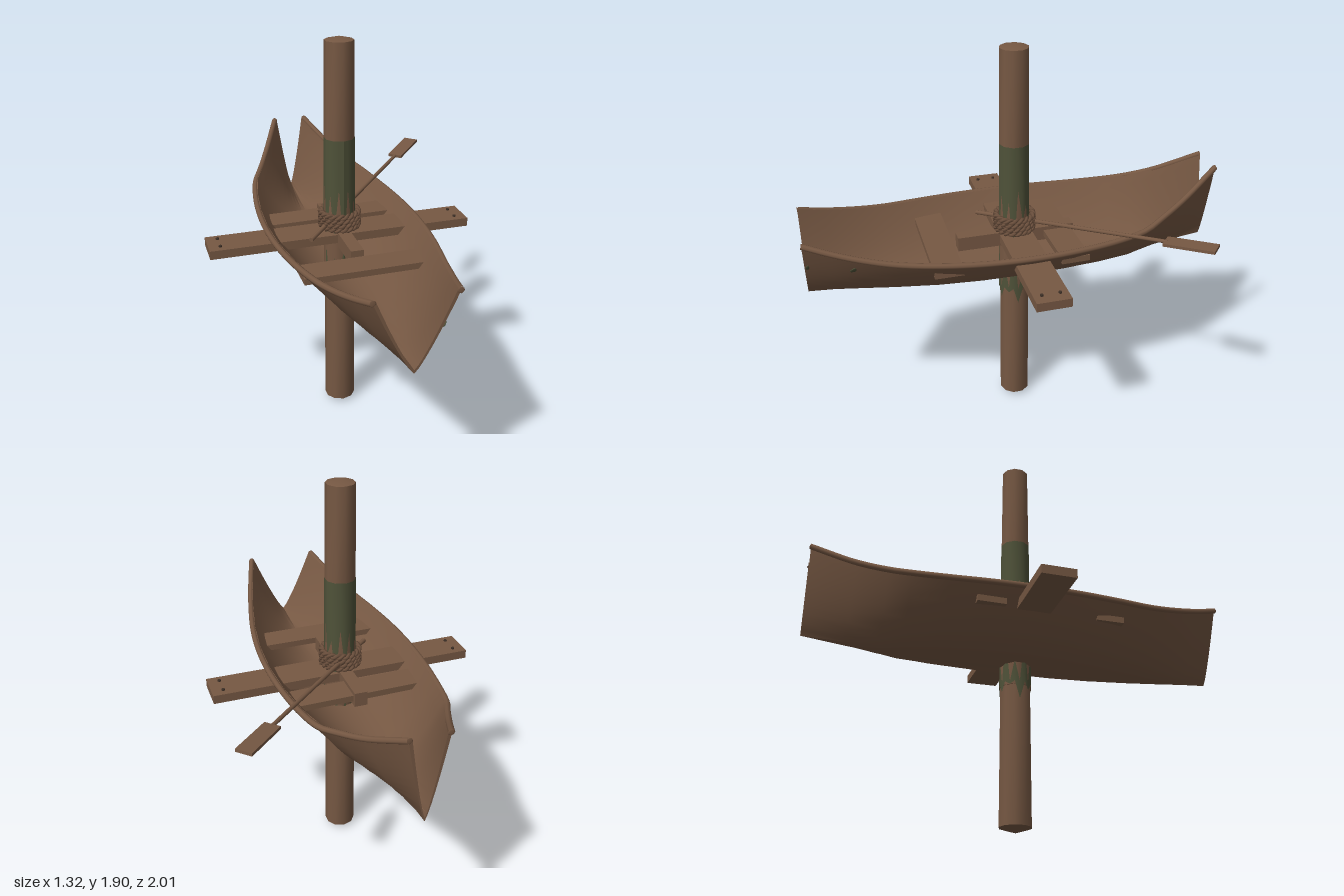
import * as THREE from 'three';
import { toCreasedNormals } from 'three/addons/utils/BufferGeometryUtils.js';

const CX = -0.02; // the boat and post share this centre line

export function createModel() {
  const model = new THREE.Group();
  const mat = (name, color, side = THREE.FrontSide) => {
    const m = new THREE.MeshStandardMaterial({ color, side });
    m.name = name;
    return m;
  };
  const wood = mat('wood', 0x765843);
  const rope = mat('rope', 0x6c503d);
  const moss = mat('moss', 0x4f5239, THREE.DoubleSide);
  const iron = mat('nail', 0x3d3027);

  const add = (name, geo, material, x = 0, y = 0, z = 0, parent = model) => {
    const m = new THREE.Mesh(geo, material);
    m.name = name;
    m.position.set(x, y, z);
    parent.add(m);
    return m;
  };

  // Hull stations: z, half width, rim height, keel height, section power (low = V, high = round)
  const stations = [
    [1, 0.18, 1.15, 0.8, 1.2], [0.88, 0.216, 1.112, 0.792, 1.4], [0.75, 0.253, 1.08, 0.783, 1.6],
    [0.6, 0.29, 1.055, 0.776, 1.8], [0.4, 0.332, 1.042, 0.771, 2.0], [0.2, 0.358, 1.036, 0.77, 2.1],
    [0, 0.366, 1.034, 0.77, 2.1], [-0.2, 0.357, 1.035, 0.77, 2.1], [-0.4, 0.332, 1.04, 0.77, 2.05],
    [-0.56, 0.297, 1.054, 0.77, 1.9], [-0.66, 0.25, 1.08, 0.777, 1.75], [-0.8, 0.185, 1.13, 0.79, 1.5],
    [-1, 0.09, 1.232, 0.813, 1.25],
  ];
  add('hull', hullGeometry(stations), wood, CX);

  // Rounded rails along the rims and the open ends
  for (const s of [-1, 1]) {
    const rim = stations.map(([z, w, top]) => new THREE.Vector3(s * (w - 0.004), top - 0.008, z));
    add('rail', new THREE.TubeGeometry(new THREE.CatmullRomCurve3(rim), 48, 0.014, 8), wood, CX);
    for (const z of [1, -1]) {
      const st = stations[z > 0 ? 0 : stations.length - 1];
      add('railEnd', new THREE.SphereGeometry(0.014, 8, 6).scale(1, 1, 0.1), wood,
        CX + s * (st[1] - 0.004), st[2] - 0.008, z);
    }
  }

  // Seats, cross plank and lengthwise beam
  add('backSeat', new THREE.BoxGeometry(0.63, 0.03, 0.135), wood, CX - 0.005, 0.957, -0.207).rotation.y = 0.015;
  add('frontSeat', new THREE.BoxGeometry(0.57, 0.03, 0.135), wood, CX - 0.005, 0.957, 0.377);
  add('crossPlank', new THREE.BoxGeometry(1.28, 0.042, 0.16), wood, CX, 0.959, 0);
  add('beam', new THREE.BoxGeometry(0.062, 0.07, 0.575), wood, CX, 0.955, -0.003);
  for (const x of [-0.585, 0.585]) for (const z of [-0.042, 0.042]) {
    add('nail', new THREE.CylinderGeometry(0.008, 0.008, 0.01, 8), iron, CX + x, 0.982, z);
  }

  // Post with low pointed ends
  const post = (name, y0, y1, r0, r1) => add(name,
    toCreasedNormals(new THREE.CylinderGeometry(r1, r0, y1 - y0, 10), 0.7), wood, CX, (y0 + y1) / 2, 0);
  post('postTip', 0, 0.022, 0.004, 0.076);
  post('lowerPost', 0.022, 0.67, 0.076, 0.073);
  post('middlePost', 0.67, 1.44, 0.077, 0.071);
  post('upperPost', 1.44, 1.885, 0.071, 0.067);
  post('postTop', 1.885, 1.9, 0.067, 0.004);

  // Moss bands with ragged dripping edges
  const drips = [0.9, 1.2, 0.98, 1.16, 0.88, 1.22, 1.06, 1.14, 0.93, 1.2,
    1.0, 1.18, 0.9, 1.15, 1.03, 1.22, 0.92, 1.17, 0.97, 1.2];
  add('upperMoss', mossBand(1.44, drips), moss, CX);
  add('lowerMoss', mossBand(0.685, drips.map((y) => 1.82 - y)), moss, CX);

  // Small moss patches on the left side of the hull
  for (const [z, len] of [[0.785, 0.05], [0.985, 0.026]]) {
    const y = 1.0;
    const [w, top, keel, p] = sample(stations, z);
    const t = Math.pow((y - keel) / (top - keel), 1 / p);
    const slope = ((top - keel) * p * Math.pow(t, p - 1)) / w;
    const patch = add('mossPatch', new THREE.SphereGeometry(0.5, 10, 6).scale(0.008, 0.032, len),
      moss, CX + w * t, y, z);
    patch.rotation.set(0, 0.28, -Math.atan(1 / slope), 'YXZ');
  }

  // Lashing: stacked coils, each of two twisted strands
  const lashing = new THREE.Group();
  lashing.name = 'lashing';
  lashing.position.x = CX;
  model.add(lashing);
  for (let k = 0; k < 4; k++) for (const phase of [0, Math.PI]) {
    const pts = [];
    for (let i = 0; i < 96; i++) {
      const a = (i / 96) * Math.PI * 2;
      const twist = a * 10 + phase + k;
      const r = 0.088 + 0.008 * Math.cos(twist);
      pts.push(new THREE.Vector3(r * Math.sin(a), 1.006 + k * 0.021 + 0.008 * Math.sin(twist), r * Math.cos(a)));
    }
    add('ropeStrand', new THREE.TubeGeometry(new THREE.CatmullRomCurve3(pts, true), 96, 0.009, 5, true),
      rope, 0, 0, 0, lashing);
  }

  // Oar tucked under the lashing
  const oar = new THREE.Group();
  oar.name = 'oar';
  oar.position.set(-0.2, 1.005, 0.145);
  oar.lookAt(0.63, 1.122, -0.73);
  add('oarShaft', new THREE.CylinderGeometry(0.009, 0.011, 0.99, 8).rotateX(Math.PI / 2), wood, 0, 0, 0.495, oar);
  add('oarBlade', new THREE.BoxGeometry(0.075, 0.014, 0.235), wood, 0, 0, 1.095, oar);
  model.add(oar);

  return model;
}

// Station values interpolated at a given z
function sample(stations, z) {
  const i = Math.max(1, stations.findIndex((s) => s[0] <= z));
  const a = stations[i - 1], b = stations[i];
  const f = (a[0] - z) / (a[0] - b[0]);
  return [1, 2, 3, 4].map((k) => a[k] + (b[k] - a[k]) * f);
}

// Two-skinned open-ended shell lofted through the stations
function hullGeometry(stations) {
  const N = 20, T = 0.016, ring = 2 * (N + 1);
  const pos = [], idx = [];
  for (const [z, w, top, keel, p] of stations) {
    const skin = (t, hw, k) => pos.push(hw * t, k + (top - k) * Math.pow(Math.abs(t), p), z);
    for (let i = 0; i <= N; i++) skin((i / N) * 2 - 1, w, keel);
    for (let i = N; i >= 0; i--) skin((i / N) * 2 - 1, w - T, keel + T);
  }
  for (let s = 0; s < stations.length - 1; s++) for (let i = 0; i < ring; i++) {
    const j = (i + 1) % ring;
    const a = s * ring + i, b = s * ring + j, c = b + ring, d = a + ring;
    idx.push(a, c, b, a, d, c);
  }
  // End faces between the skins
  const e = (stations.length - 1) * ring;
  for (let i = 0; i < N; i++) {
    const a = i, b = i + 1, c = ring - 2 - i, d = ring - 1 - i;
    idx.push(a, b, c, a, c, d, e + a, e + c, e + b, e + a, e + d, e + c);
  }
  const g = new THREE.BufferGeometry();
  g.setAttribute('position', new THREE.Float32BufferAttribute(pos, 3));
  g.setIndex(idx);
  return toCreasedNormals(g, 0.6);
}

// Thin sleeve around the ten-sided post, from a level edge to a ragged one
function mossBand(edge, tips) {
  const n = tips.length, pos = [], idx = [];
  for (let i = 0; i <= n; i++) {
    const a = (i / n) * Math.PI * 2;
    const flat = i % 2 ? Math.cos(Math.PI / 10) : 1;
    const tip = tips[i % n];
    for (const y of [Math.max(edge, tip), Math.min(edge, tip)]) {
      const r = (0.0785 - (y - 0.67) * 0.0078) * flat;
      pos.push(r * Math.sin(a), y, r * Math.cos(a));
    }
    if (i < n) {
      const k = i * 2;
      idx.push(k, k + 1, k + 3, k, k + 3, k + 2);
    }
  }
  const g = new THREE.BufferGeometry();
  g.setAttribute('position', new THREE.Float32BufferAttribute(pos, 3));
  g.setIndex(idx);
  g.computeVertexNormals();
  return g;
}
